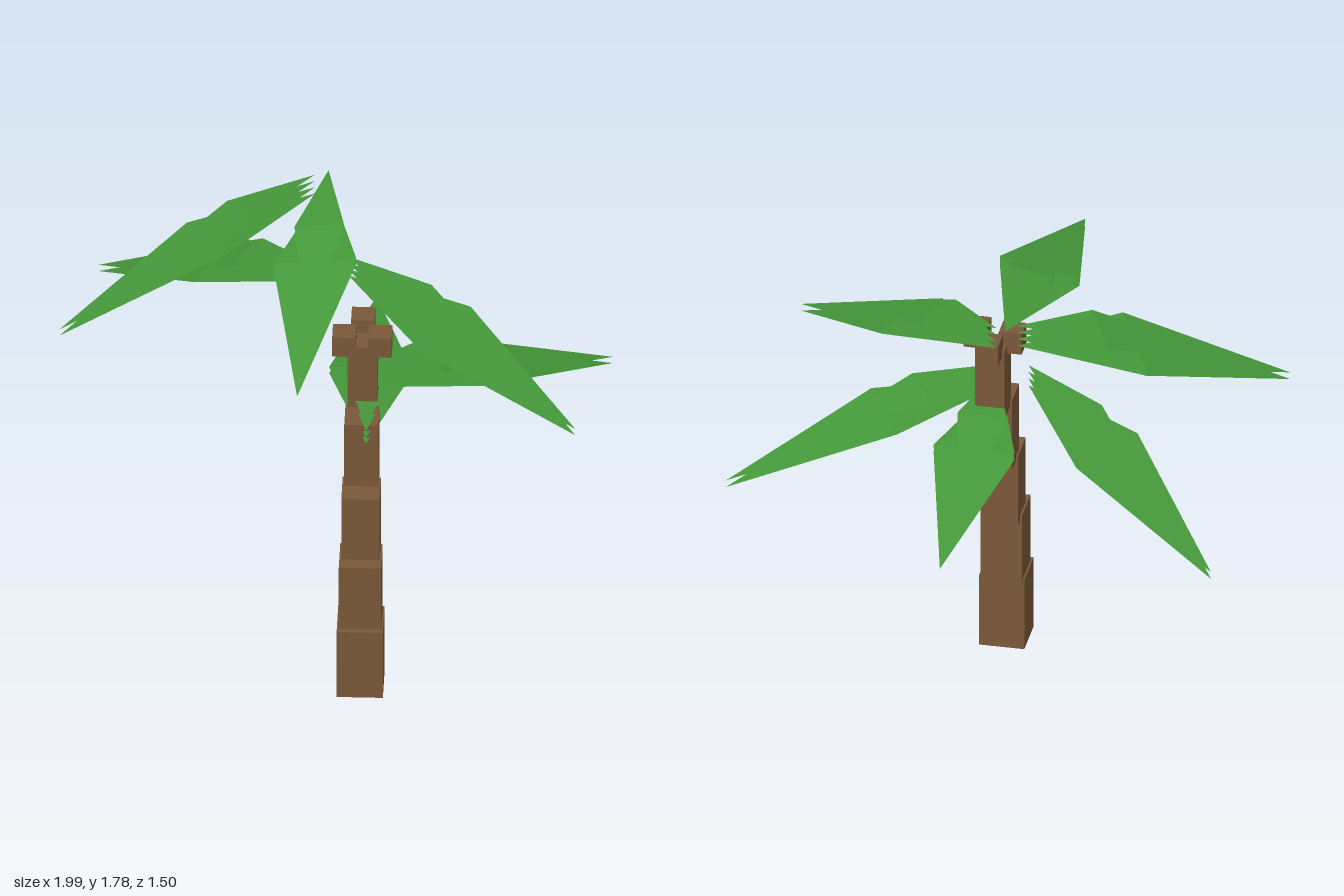
import * as THREE from 'three';

const bark = new THREE.MeshStandardMaterial({ color: 0x7a5838 });
bark.name = 'bark';
const leafGreen = new THREE.MeshStandardMaterial({ color: 0x45993a, side: THREE.DoubleSide });
leafGreen.name = 'leafGreen';

function box(name, w, h, x, y, z) {
  const mesh = new THREE.Mesh(new THREE.BoxGeometry(w, h, w), bark);
  mesh.name = name;
  mesh.position.set(x, y, z);
  return mesh;
}

// One kite-shaped sheet, bent down across its widest line.
// drop: fall at the bend and at the tip; roll: rise of one side corner.
function kite(length, halfWidth, dropMid, dropTip, roll) {
  const bend = length * 0.43;
  const base = [0, 0, 0];
  const right = [halfWidth, -dropMid + roll, bend];
  const left = [-halfWidth, -dropMid - roll, bend];
  const tip = [0, -dropTip, length];
  const g = new THREE.BufferGeometry();
  g.setAttribute('position', new THREE.Float32BufferAttribute(
    [base, left, right, left, tip, right].flat(), 3));
  g.computeVertexNormals();
  return g;
}

// A frond: two short sheets stacked over two long ones.
function frond({ base, tip, dropMid, dropTip, roll = 0 }) {
  const group = new THREE.Group();
  group.name = 'frond';
  const dx = tip[0] - base[0], dz = tip[1] - base[2];
  const length = Math.hypot(dx, dz);
  [[0.7, 0.6], [0.7, 0.6], [1, 1], [1, 1]].forEach(([s, w], i) => {
    const sheet = new THREE.Mesh(
      kite(length * s, 0.15 * w, dropMid * s, dropTip * s, roll * w), leafGreen);
    sheet.name = s < 1 ? 'shortLeafSheet' : 'longLeafSheet';
    sheet.position.y = -0.028 * i;
    group.add(sheet);
  });
  group.position.set(...base);
  group.rotation.y = Math.atan2(dx, dz);
  return group;
}

export function createModel() {
  const model = new THREE.Group();
  model.name = 'palmTree';

  // Trunk: leaning stack of tapering blocks [width, centre y, centre z]
  [
    [0.168, 0.147, 0.381],
    [0.154, 0.42, 0.368],
    [0.139, 0.69, 0.324],
    [0.124, 0.962, 0.25],
    [0.109, 1.228, 0.144],
  ].forEach(([w, y, z]) => model.add(box('trunkBlock', w, 0.29, 0.102, y, z)));

  // Coconuts: small cubes at the crown
  [[0.1, 1.385, 0.065], [0.166, 1.387, 0.177], [0.035, 1.382, 0.17]]
    .forEach(([x, y, z]) => model.add(box('coconut', 0.085, 0.085, x, y, z)));

  // Fronds: base (x, y, z), tip (x, z)
  [
    { base: [0.04, 1.57, -0.09], tip: [0.885, 0.49], dropMid: 0.065, dropTip: 0.275 },
    { base: [0.07, 1.265, 0.18], tip: [0.99, -0.345], dropMid: 0.05, dropTip: 0.245 },
    { base: [0.12, 1.14, 0.355], tip: [0.12, -0.72], dropMid: 0.02, dropTip: 0.145 },
    { base: [-0.095, 1.48, -0.175], tip: [-0.89, -0.75], dropMid: 0.107, dropTip: 0.39 },
    { base: [-0.09, 1.745, -0.35], tip: [-1, 0.135], dropMid: 0.08, dropTip: 0.31, roll: 0.035 },
    { base: [-0.04, 1.785, -0.325], tip: [-0.115, 0.745], dropMid: 0.02, dropTip: 0.16, roll: 0.025 },
  ].forEach((f) => model.add(frond(f)));

  return model;
}
